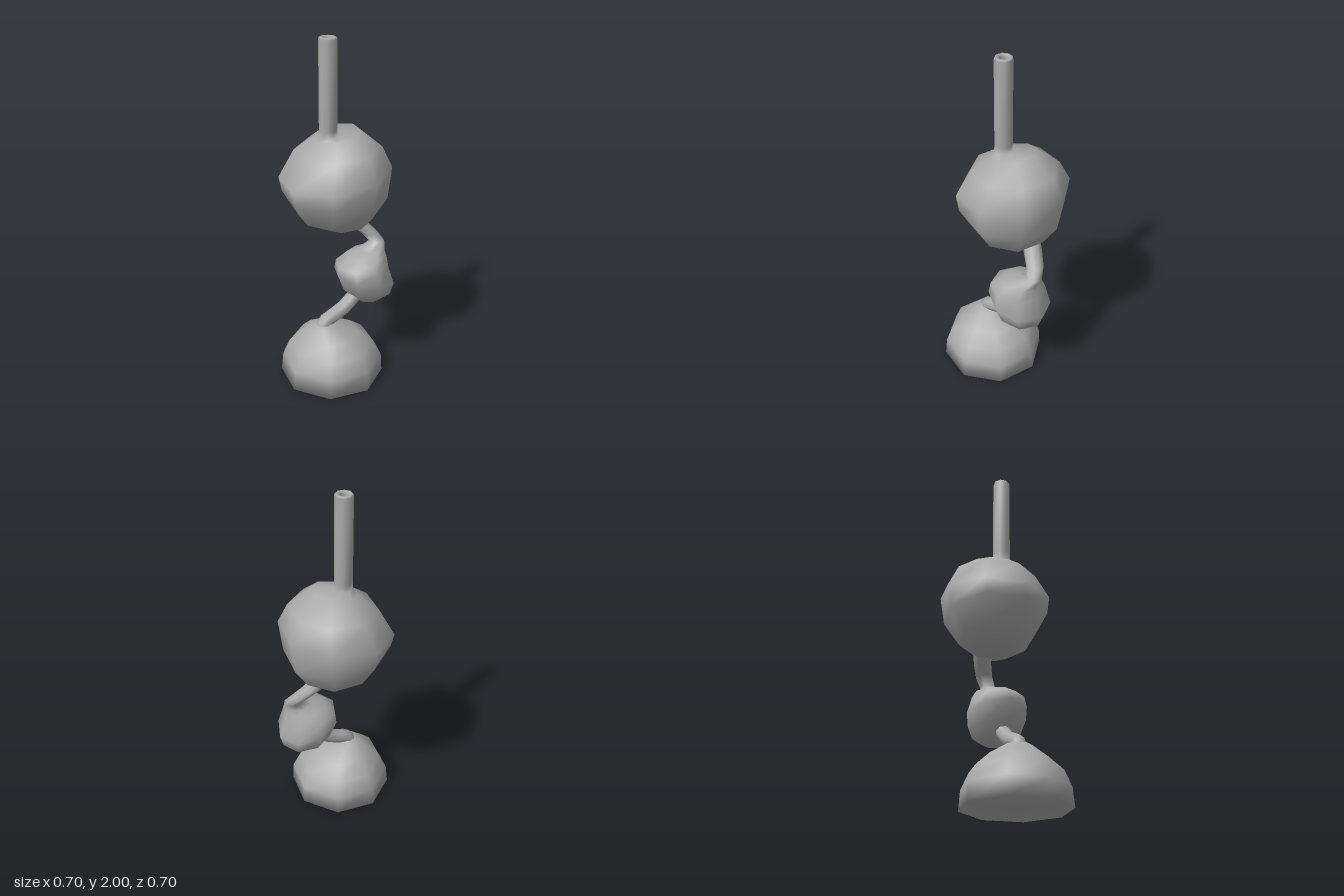
import * as THREE from 'three';

const SIDES = 8;
const material = new THREE.MeshStandardMaterial({ color: 0xaaaaaa });

function addMesh(group, name, geometry) {
  const mesh = new THREE.Mesh(geometry, material);
  mesh.name = name;
  group.add(mesh);
}

// Smooth eight-sided skin through level rings [x, y, z, radius, slope along x], bottom to top
function loft(rings, turn) {
  const pos = [], index = [];
  for (const [x, y, z, r, slope = 0] of rings) {
    for (let i = 0; i < SIDES; i++) {
      const a = turn + (i / SIDES) * Math.PI * 2;
      const dx = r * Math.cos(a);
      pos.push(x + dx, y + slope * dx, z + r * Math.sin(a));
    }
  }
  for (let j = 0; j < rings.length - 1; j++) {
    for (let i = 0; i < SIDES; i++) {
      const a = j * SIDES + i, b = j * SIDES + (i + 1) % SIDES;
      const c = a + SIDES, d = b + SIDES;
      if (rings[j][3] > 0) index.push(a, c, b);
      if (rings[j + 1][3] > 0) index.push(b, c, d);
    }
  }
  const g = new THREE.BufferGeometry();
  g.setAttribute('position', new THREE.Float32BufferAttribute(pos, 3));
  g.setIndex(index);
  g.computeVertexNormals();
  return g;
}

// Bent eight-sided stem through a few points
function stem(points, radius) {
  const curve = new THREE.CatmullRomCurve3(points.map(p => new THREE.Vector3(...p)));
  return new THREE.TubeGeometry(curve, 8, radius, SIDES);
}

export function createModel() {
  const group = new THREE.Group();
  const turn = THREE.MathUtils.degToRad(32);

  // Domed foot with a closed underside, softly shaded around the rim
  addMesh(group, 'base', loft([
    [-0.06, 0, 0.055, 0],
    [-0.06, 0, 0.055, 0.302],
    [-0.057, 0.11, 0.055, 0.293],
    [-0.06, 0.2, 0.055, 0.252],
    [-0.07, 0.27, 0.053, 0.17],
    [-0.105, 0.325, 0.05, 0.075],
    [-0.105, 0.345, 0.05, 0],
  ], turn));

  // Lower link
  addMesh(group, 'lowerStem', stem([
    [-0.135, 0.27, 0.05], [-0.1, 0.345, 0.05], [-0.045, 0.37, 0.05], [0.03, 0.405, 0.05], [0.13, 0.49, 0.05],
  ], 0.042));

  // Small middle ball, drawn out into the upper link
  addMesh(group, 'middleBallAndUpperStem', loft([
    [0.19, 0.415, 0.045, 0],
    [0.19, 0.425, 0.045, 0.08, -0.1],
    [0.18, 0.485, 0.045, 0.148, -0.2],
    [0.17, 0.575, 0.045, 0.18, -0.25],
    [0.155, 0.66, 0.045, 0.158, -0.05],
    [0.185, 0.715, 0.045, 0.12],
    [0.225, 0.738, 0.042, 0.075],
    [0.268, 0.775, 0.028, 0.045],
    [0.235, 0.825, -0.008, 0.05],
    [0.175, 0.89, -0.045, 0.053],
    [0.12, 0.97, -0.07, 0.053],
  ], 0));

  // Large upper ball, running into the hollow upright pipe
  const px = -0.036, pz = -0.017;
  addMesh(group, 'upperBallAndPipe', loft([
    [0.06, 0.894, -0.03, 0],
    [0.06, 0.9, -0.03, 0.105],
    [0.015, 0.96, -0.03, 0.21, -0.08],
    [0.015, 1.1, -0.033, 0.298, -0.08],
    [0.02, 1.235, -0.037, 0.318, 0.12],
    [0.037, 1.375, -0.035, 0.245, 0.05],
    [0.025, 1.462, -0.03, 0.13, 0.2],
    [px, 1.455, pz, 0.052, 0.15],
    [px, 1.5, pz, 0.05],
    [px, 1.99, pz, 0.05],
    [px, 2, pz, 0.046],
    [px, 2, pz, 0.03],
    [px, 1.985, pz, 0.026],
    [px, 1.5, pz, 0.026],
    [px, 1.5, pz, 0],
  ], turn));

  return group;
}
